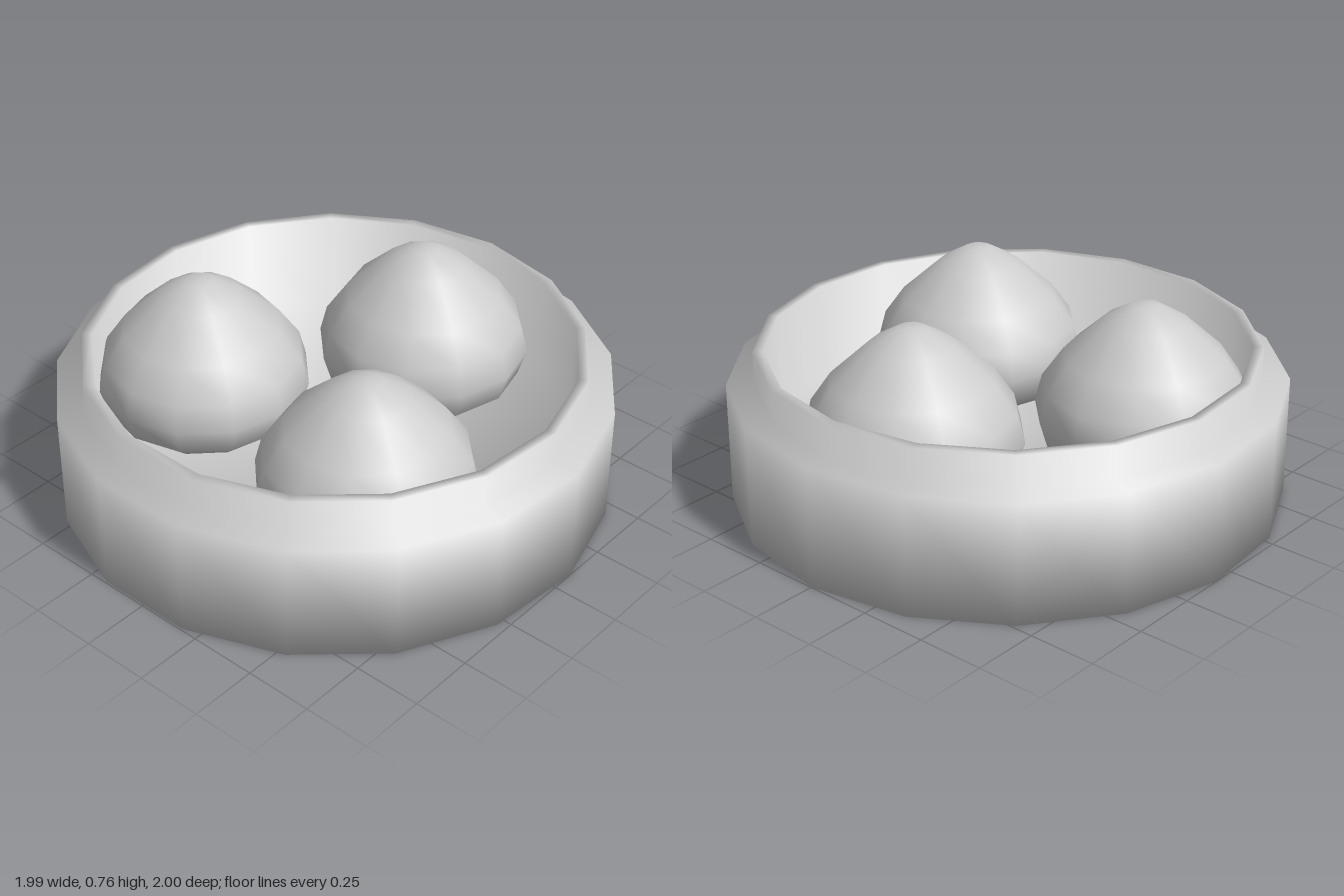
import * as THREE from 'three';

const material = new THREE.MeshStandardMaterial({ color: 0xcccccc });

// Turned solid with soft normals: each profile corner averages its two neighbouring slopes.
function turned(name, profile, sides) {
  const points = profile.map(([r, y]) => new THREE.Vector2(r, y));
  const geometry = new THREE.LatheGeometry(points, sides, Math.PI / 2);
  const slopes = points.slice(1).map((p, i) => {
    const d = p.clone().sub(points[i]).normalize();
    return new THREE.Vector2(d.y, -d.x);
  });
  const corners = points.map((p, i) => {
    const n = new THREE.Vector2();
    if (i > 0) n.add(slopes[i - 1]);
    if (i < slopes.length) n.add(slopes[i]);
    if (p.x === 0) n.x = 0;
    return n.normalize();
  });
  const normals = geometry.attributes.normal;
  for (let i = 0; i < normals.count; i++) {
    const n = corners[i % points.length];
    const a = Math.PI / 2 + (Math.floor(i / points.length) / sides) * Math.PI * 2;
    normals.setXYZ(i, n.x * Math.sin(a), n.y, n.x * Math.cos(a));
  }
  const mesh = new THREE.Mesh(geometry, material);
  mesh.name = name;
  return mesh;
}

export function createModel() {
  const model = new THREE.Group();
  model.name = 'steamerWithBuns';

  // Basket: outer wall, step, raised rim, inner wall and floor
  const floor = 0.2;
  const basket = turned('basket', [
    [0, 0], [1.004, 0], [1.004, 0.445], [0.905, 0.445], [0.905, 0.567],
    [0.868, 0.567], [0.868, floor], [0, floor],
  ], 17);
  basket.position.x = -0.006;
  model.add(basket);

  // Three pointed buns resting on the floor
  const bunProfile = [
    [0, -0.01], [0.28, -0.01], [0.36, 0.06], [0.39, 0.16], [0.365, 0.26],
    [0.29, 0.37], [0.15, 0.5], [0.05, 0.56], [0, 0.564],
  ];
  const buns = [
    ['backBun', -0.226, -0.442, 0.99],
    ['leftBun', 0.46, 0.027, 1],
    ['frontBun', -0.288, 0.389, 0.965],
  ];
  for (const [name, x, z, height] of buns) {
    const bun = turned(name, bunProfile, 12);
    bun.position.set(x, floor, z);
    bun.scale.y = height;
    model.add(bun);
  }
  return model;
}
